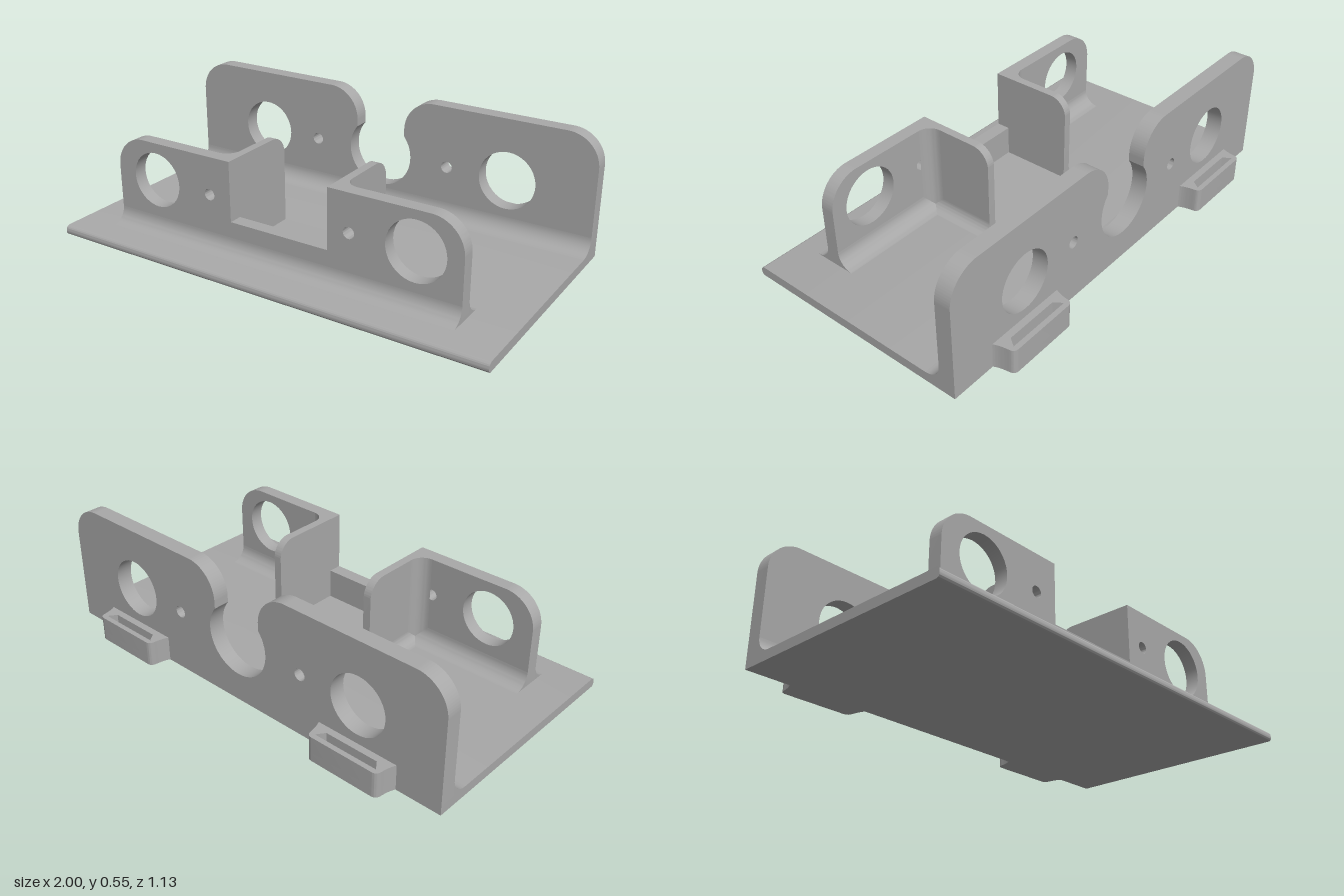
import * as THREE from 'three';
import { toCreasedNormals } from 'three/addons/utils/BufferGeometryUtils.js';

const grey = new THREE.MeshStandardMaterial({ color: 0xa8a8a8 });
grey.name = 'bracket grey';

function extrude(shape, depth) {
  return new THREE.ExtrudeGeometry(shape, { depth, bevelEnabled: false, curveSegments: 20 });
}
// Shape drawn in (x, y), running from z0 to z1
function alongZ(shape, z0, z1) {
  return extrude(shape, z1 - z0).translate(0, 0, z0);
}
// Shape drawn in (z, y), running from x0 to x1
function alongX(shape, x0, x1) {
  return extrude(shape, x1 - x0).rotateY(-Math.PI / 2).translate(x1, 0, 0);
}
// Shape drawn in (x, -z), running from y0 to y1
function alongY(shape, y0, y1) {
  return extrude(shape, y1 - y0).rotateX(-Math.PI / 2).translate(0, y0, 0);
}
function polygon(points) {
  return new THREE.Shape(points.map(([x, y]) => new THREE.Vector2(x, y)));
}
function addHole(shape, x, y, r) {
  shape.holes.push(new THREE.Path().absarc(x, y, r, 0, Math.PI * 2, true));
}
// Concave fillet wedge in the corner (u, v), growing towards signs su, sv
function filletShape(u, v, r, su, sv) {
  const pts = [[u, v]];
  for (let i = 0; i <= 12; i++) {
    const a = (i / 12) * Math.PI / 2;
    pts.push([u + su * r * (1 - Math.sin(a)), v + sv * r * (1 - Math.cos(a))]);
  }
  return polygon(pts);
}

export function createModel() {
  const model = new THREE.Group();
  model.name = 'mountingBracket';
  const add = (name, geometry) => {
    const mesh = new THREE.Mesh(toCreasedNormals(geometry, 0.5), grey);
    mesh.name = name;
    model.add(mesh);
  };
  const PI = Math.PI;
  const floor = 0.042;

  // Base plate with a rounded front edge
  const base = new THREE.Shape();
  base.moveTo(-0.48, 0);
  base.lineTo(0.555, 0);
  base.absarc(0.551, 0.014, 0.014, -PI / 2, 0, false);
  base.absarc(0.545, floor - 0.02, 0.02, 0, PI / 2, false);
  base.lineTo(-0.48, floor);
  add('basePlate', alongX(base, -1, 1));

  // Tall back wall: rounded corners, keyhole notch, large and small holes
  const back = new THREE.Shape();
  back.moveTo(-1, 0);
  back.lineTo(1, 0);
  back.absarc(0.86, 0.41, 0.14, 0, PI / 2, false);
  back.absarc(0.26, 0.41, 0.14, PI / 2, PI, false);
  const open = Math.acos(0.12 / 0.155);
  back.absarc(0, 0.28, 0.155, open, PI - open, true);
  back.absarc(-0.26, 0.41, 0.14, 0, PI / 2, false);
  back.absarc(-0.86, 0.41, 0.14, PI / 2, PI, false);
  for (const s of [-1, 1]) {
    addHole(back, s * 0.615, 0.277, 0.128);
    addHole(back, s * 0.333, 0.277, 0.026);
  }
  add('backWall', alongZ(back, -0.48, -0.41));
  add('backWallFillet', alongX(filletShape(-0.41, floor, 0.07, 1, 1), -1, 1));

  // Lower front wall with a square centre opening above a sill
  const xl = -0.83, xr = 0.805, top = 0.442, r = 0.14;
  const front = new THREE.Shape();
  front.moveTo(xl, 0.02);
  front.lineTo(xr, 0.02);
  front.absarc(xr - r, top - r, r, 0, PI / 2, false);
  front.lineTo(0.23, top);
  front.lineTo(0.23, 0.18);
  front.lineTo(-0.235, 0.18);
  front.lineTo(-0.235, top);
  front.absarc(xl + r, top - r, r, PI / 2, PI, false);
  addHole(front, -0.622, 0.277, 0.121);
  addHole(front, 0.61, 0.277, 0.127);
  addHole(front, -0.34, 0.277, 0.025);
  addHole(front, 0.325, 0.277, 0.025);
  add('frontWall', alongZ(front, 0.32, 0.38));
  add('frontWallOuterFillet', alongX(filletShape(0.38, floor, 0.068, 1, 1), xl, xr));

  // Flanges running back from the opening, with fillets to wall and floor
  const flange = new THREE.Shape();
  flange.moveTo(0, 0.02);
  flange.lineTo(0.33, 0.02);
  flange.lineTo(0.33, top);
  flange.absarc(0.08, top - 0.08, 0.08, PI / 2, PI, false);
  for (const [side, s, inner, end] of [['right', -1, -0.235, xl], ['left', 1, 0.23, xr]]) {
    const outer = inner + s * 0.036;
    const span = (a, b) => [Math.min(a, b), Math.max(a, b)];
    add(side + 'Flange', alongX(flange, ...span(inner, outer)));
    add(side + 'CornerFillet', alongY(filletShape(outer, -0.32, 0.06, s, 1), 0.03, top));
    add(side + 'FlangeFloorFillet', alongZ(filletShape(outer, floor, 0.05, s, 1), 0, 0.32));
    add(side + 'WallInnerFillet', alongX(filletShape(0.32, floor, 0.068, -1, 1), ...span(outer, end)));
  }

  // Low pad on the floor between the flanges
  add('floorPad', new THREE.BoxGeometry(0.465, 0.03, 0.32).translate(-0.0025, 0.032, 0.16));

  // Slotted clips on the rear face, flared where they meet the wall
  const clipShape = (cx) => {
    const c = new THREE.Shape();
    c.moveTo(cx - 0.19, 0.475);
    c.lineTo(cx + 0.19, 0.475);
    c.quadraticCurveTo(cx + 0.175, 0.49, cx + 0.168, 0.545);
    c.quadraticCurveTo(cx + 0.165, 0.567, cx + 0.142, 0.567);
    c.lineTo(cx - 0.142, 0.567);
    c.quadraticCurveTo(cx - 0.165, 0.567, cx - 0.168, 0.545);
    c.quadraticCurveTo(cx - 0.175, 0.49, cx - 0.19, 0.475);
    return c;
  };
  for (const [side, cx] of [['right', -0.615], ['left', 0.615]]) {
    const rim = clipShape(cx);
    rim.holes.push(new THREE.Path([
      [cx - 0.12, 0.51], [cx - 0.145, 0.545], [cx + 0.145, 0.545], [cx + 0.12, 0.51],
    ].map(([x, y]) => new THREE.Vector2(x, y))));
    add(side + 'ClipRim', alongY(rim, 0.04, 0.11));
    add(side + 'ClipFloor', alongY(clipShape(cx), 0, 0.04));
  }
  return model;
}
